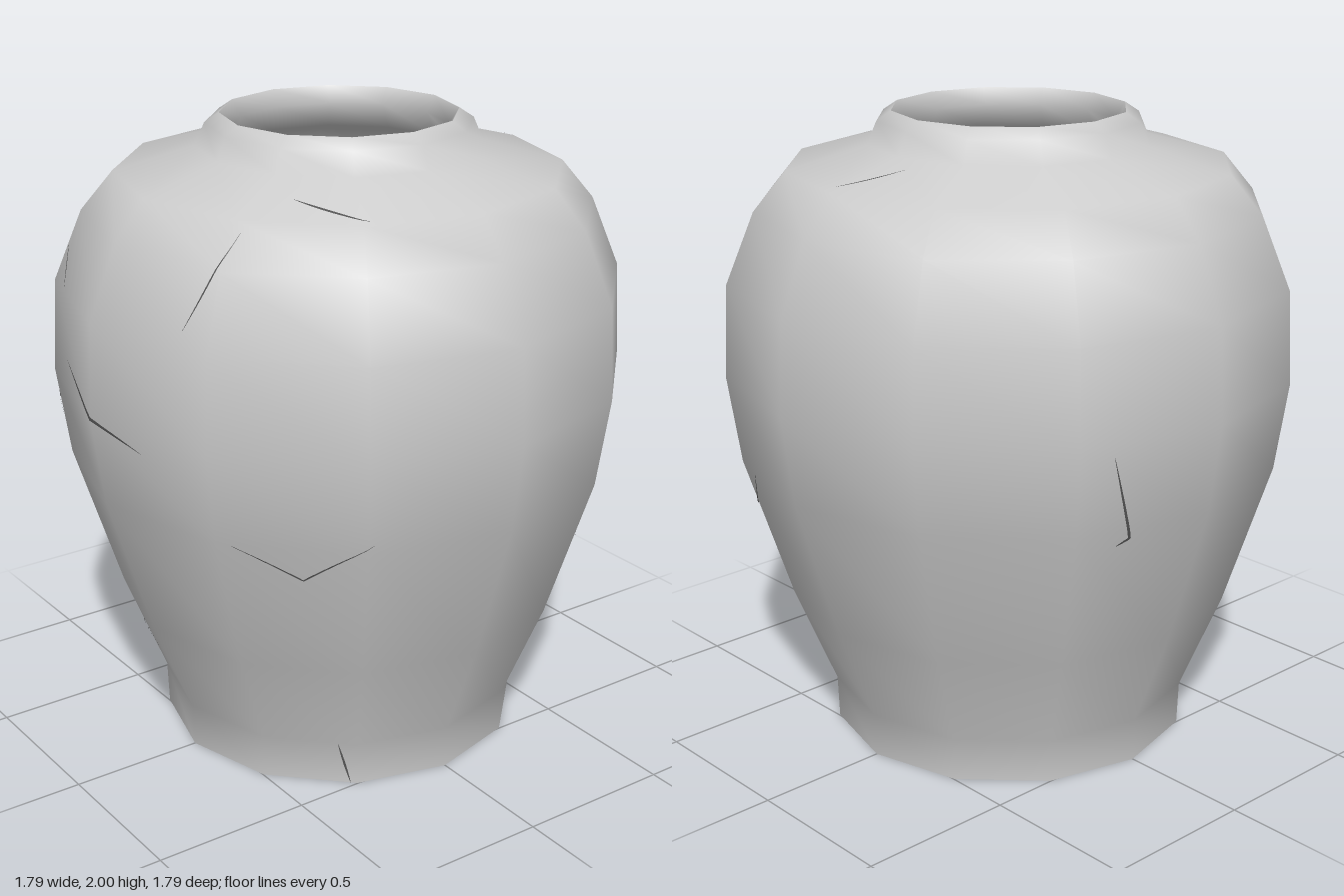
import * as THREE from 'three';

const SIDES = 12;
const clay = new THREE.MeshStandardMaterial({ color: 0xcccccc });
const crackDark = new THREE.MeshStandardMaterial({ color: 0x555555, side: THREE.DoubleSide });

// Outer profile as [radius, height], bottom to top
const outer = [
  [0.575, 0], [0.58, 0.14], [0.71, 0.46], [0.855, 0.92], [0.895, 1.2], [0.88, 1.49],
  [0.79, 1.71], [0.69, 1.83], [0.44, 1.9], [0.41, 1.97], [0.365, 2],
];
// Inner profile, top to bottom, ending on the floor
const inner = [
  [0.365, 2], [0.335, 1.95], [0.37, 1.87], [0.67, 1.79], [0.76, 1.69], [0.85, 1.48],
  [0.865, 1.2], [0.825, 0.92], [0.68, 0.46], [0.55, 0.14], [0.545, 0.04],
];

function lathe(name, profile) {
  const points = profile.map(([r, y]) => new THREE.Vector2(r, y));
  const mesh = new THREE.Mesh(new THREE.LatheGeometry(points, SIDES), clay);
  mesh.name = name;
  return mesh;
}

// Flat twelve-sided disc, facing up or down
function disc(name, radius, y, up) {
  const geo = new THREE.CircleGeometry(radius, SIDES);
  geo.rotateX(up ? -Math.PI / 2 : Math.PI / 2);
  geo.translate(0, y, 0);
  const mesh = new THREE.Mesh(geo, clay);
  mesh.name = name;
  return mesh;
}

// Point on the faceted outer wall; angle in degrees from the front towards +x
function wallPoint(angle, y) {
  let i = 1;
  while (i < outer.length - 1 && outer[i][1] < y) i++;
  const [r0, y0] = outer[i - 1], [r1, y1] = outer[i];
  const local = (((angle % 30) + 30) % 30) - 15;
  const facet = Math.cos(Math.PI / 12) / Math.cos(THREE.MathUtils.degToRad(local));
  const r = THREE.MathUtils.lerp(r0, r1, (y - y0) / (y1 - y0)) * facet;
  const a = THREE.MathUtils.degToRad(angle);
  return new THREE.Vector3(r * Math.sin(a), y, r * Math.cos(a));
}

// Tapered sliver that follows the wall along a path of [angle, height]
function crack(path, halfWidth) {
  const STEPS = 12, count = (path.length - 1) * STEPS;
  const at = (k) => {
    const s = Math.min(Math.floor(k / STEPS), path.length - 2), t = k / STEPS - s;
    return path[s].map((v, j) => THREE.MathUtils.lerp(v, path[s + 1][j], t));
  };
  const positions = [], index = [];
  for (let k = 0; k <= count; k++) {
    const [a, y] = at(k);
    const p = wallPoint(a, y);
    const normal = wallPoint(a + 0.2, y).sub(p).cross(wallPoint(a, y + 0.002).sub(p)).normalize();
    const along = wallPoint(...at(Math.min(k + 1, count))).sub(wallPoint(...at(Math.max(k - 1, 0))));
    const side = normal.clone().cross(along).normalize();
    const w = halfWidth * Math.sin((Math.PI * k) / count) + 0.0005;
    for (const s of [1, -1]) {
      positions.push(...p.clone().addScaledVector(normal, 0.003).addScaledVector(side, s * w));
    }
    if (k < count) {
      const b = 2 * k;
      index.push(b, b + 1, b + 2, b + 1, b + 3, b + 2);
    }
  }
  const geo = new THREE.BufferGeometry();
  geo.setAttribute('position', new THREE.Float32BufferAttribute(positions, 3));
  geo.setIndex(index);
  geo.computeVertexNormals();
  const mesh = new THREE.Mesh(geo, crackDark);
  mesh.name = 'crack';
  return mesh;
}

export function createModel() {
  const model = new THREE.Group();
  model.name = 'crackedJar';
  model.add(
    lathe('outerWall', outer),
    lathe('innerWall', inner),
    disc('base', outer[0][0], 0, false),
    disc('innerFloor', 0.545, 0.04, true),
  );

  // Hairline cracks between the rejoined shards
  const cracks = new THREE.Group();
  cracks.name = 'cracks';
  const paths = [
    [0.005, [[-18, 1.29], [13, 1.14]]],
    [0.002, [[-61, 0.99], [-32, 1.19], [-29, 1.05]]],
    [0.002, [[-36, 0.4], [-29, 0.285], [-15, 0.29]]],
    [0.002, [[-29, 0.285], [-44, 0.17]]],
    [0.003, [[54, 0.14], [58, 0.002]]],
    [0.002, [[32, 1.8], [23.5, 1.54]]],
    [0.002, [[-29, 1.61], [-22, 1.5]]],
    [0.002, [[33, 0.92], [47, 0.81], [61, 0.95]]],
    [0.004, [[41, 1.863], [62, 1.834]]],
    [0.002, [[178, 1.838], [190, 1.88]]],
    [0.003, [[120, 0.74], [150, 0.78], [157, 0.91]]],
    [0.004, [[247, 1.16], [252, 0.89], [249, 0.87]]],
  ];
  for (const [width, path] of paths) cracks.add(crack(path, width));
  model.add(cracks);
  return model;
}
